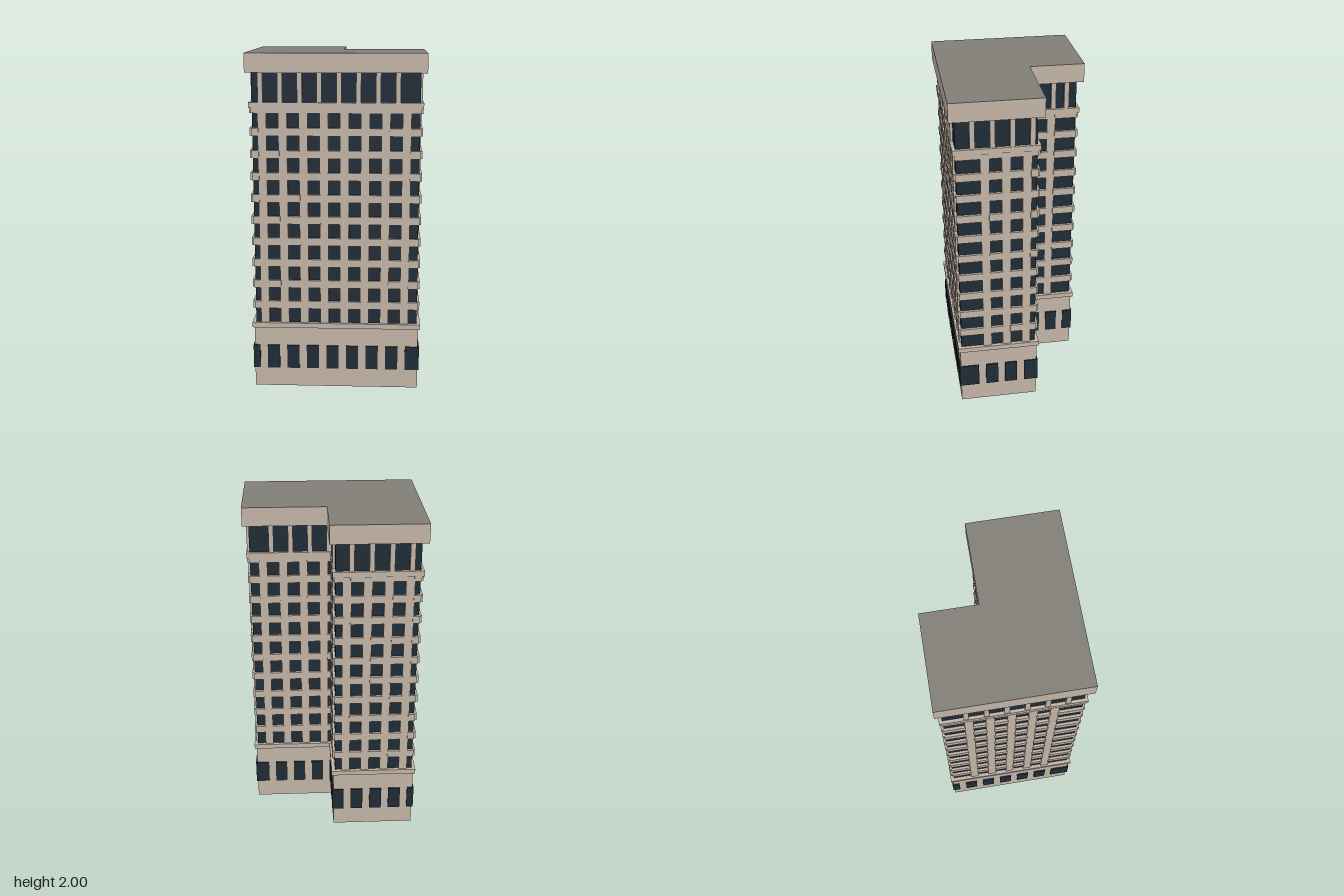
import * as THREE from 'three';
import { mergeGeometries } from 'three/addons/utils/BufferGeometryUtils.js';

const stone = new THREE.MeshStandardMaterial({ color: 0xc2b4a7 });
stone.name = 'stone';
const glass = new THREE.MeshStandardMaterial({ color: 0x1f2b35 });
glass.name = 'darkGlass';
const roofGrey = new THREE.MeshStandardMaterial({ color: 0x827e77 });
roofGrey.name = 'roofGrey';

// Core footprint: an L with a notch at the back on the +x side
const X = 0.48, Z = 0.385, NX = -0.005, NZ = -0.065;

// L-shaped slab, grown outward from the core by d
function slab(name, d, y0, y1, material) {
  const x = X + d, z = Z + d, nx = NX + d, nz = NZ - d;
  const corners = [[-x, z], [x, z], [x, nz], [nx, nz], [nx, -z], [-x, -z]];
  const shape = new THREE.Shape(corners.map(([a, b]) => new THREE.Vector2(a, -b)));
  const geo = new THREE.ExtrudeGeometry(shape, { depth: y1 - y0, bevelEnabled: false });
  geo.rotateX(-Math.PI / 2).translate(0, y0, 0);
  const mesh = new THREE.Mesh(geo, material);
  mesh.name = name;
  return mesh;
}

const series = (start, step, n) => Array.from({ length: n }, (_, i) => start + step * i);

// Pier positions along x and z for the three storey types
const px = series(-0.4235, 0.1183, 8), pz = series(0.227, -0.118, 5);
const ux = series(-0.43, 0.1118, 8), uz = series(0.293, -0.11, 6);
const bx = series(-0.4345, 0.118, 8), bz = series(0.262, -0.119, 6);

// Each wall: axis it runs along, outward sign, core plane, extent, pier positions,
// and which ends are outer corners
const walls = [
  { name: 'front', axis: 'x', s: 1, plane: Z, a: -X, b: X, piers: px, upper: ux, base: bx, ends: [1, 1] },
  { name: 'left', axis: 'z', s: 1, plane: X, a: NZ, b: Z, piers: pz, upper: uz, base: bz, ends: [1, 1] },
  { name: 'right', axis: 'z', s: -1, plane: -X, a: -Z, b: Z, piers: pz, upper: uz, base: bz, ends: [1, 1] },
  { name: 'rear', axis: 'x', s: -1, plane: -Z, a: -X, b: NX, piers: px, upper: ux, base: bx, ends: [1, 1] },
  { name: 'notchRear', axis: 'x', s: -1, plane: NZ, a: NX, b: X, piers: px, upper: ux, base: bx, ends: [-1, 1] },
  { name: 'notchSide', axis: 'z', s: 1, plane: NX, a: -Z, b: NZ, piers: [-0.117, -0.236],
    upper: [-0.125, -0.247, -0.325], base: [-0.204, -0.32], ends: [1, -1] },
];

// Box on a wall: u0..u1 along it, y0..y1 high, d0..d1 out from the core plane
function panel(w, u0, u1, y0, y1, d0, d1) {
  const depth = d1 - d0, out = w.plane + w.s * (d0 + d1) / 2;
  const u = (u0 + u1) / 2, y = (y0 + y1) / 2;
  return w.axis === 'x'
    ? new THREE.BoxGeometry(u1 - u0, y1 - y0, depth).translate(u, y, out)
    : new THREE.BoxGeometry(depth, y1 - y0, u1 - u0).translate(out, y, u);
}

const inside = (w, list, width) =>
  list.filter((c) => c - width / 2 > w.a && c + width / 2 < w.b).sort((p, q) => p - q);

// Openings left between piers of a given width
function openings(w, list, width, a = w.a, b = w.b) {
  const c = inside(w, list, width);
  const starts = [a, ...c.map((v) => v + width / 2)];
  const stops = [...c.map((v) => v - width / 2), b];
  return starts.map((v, i) => [v, stops[i]]);
}

export function createModel() {
  const model = new THREE.Group();
  model.name = 'towerBlock';

  // Stacked body
  model.add(
    slab('base', 0.01, 0, 0.375, stone),
    slab('lowerLedge', 0.022, 0.375, 0.405, stone),
    slab('glassCore', 0, 0.405, 1.89, glass),
    slab('upperLedge', 0.018, 1.69, 1.722, stone),
    slab('parapet', 0.035, 1.89, 1.998, stone),
    slab('roof', 0.035, 1.998, 2, roofGrey),
  );

  for (const w of walls) {
    const wall = new THREE.Group();
    wall.name = w.name + 'Wall';
    const add = (name, geos, material) => {
      if (!geos.length) return;
      const mesh = new THREE.Mesh(mergeGeometries(geos), material);
      mesh.name = name;
      wall.add(mesh);
    };

    // Ground floor windows, thin plates meeting at the outer corners
    const a = w.a - 0.018 * w.ends[0], b = w.b + 0.018 * w.ends[1];
    add('groundWindows', openings(w, w.base, 0.044, a, b)
      .map(([u0, u1]) => panel(w, u0, u1, 0.117, 0.262, 0.0095, 0.018)), glass);

    // Tall piers of the main storeys
    add('piers', inside(w, w.piers, 0.05)
      .map((c) => panel(w, c - 0.025, c + 0.025, 0.4, 1.7, -0.005, 0.011)), stone);

    // Spandrels under each row of windows
    const spandrels = [];
    for (const [u0, u1] of openings(w, w.piers, 0.05)) {
      for (let i = 0; i < 10; i++) {
        const y = 0.495 + i * 0.1295;
        spandrels.push(panel(w, u0 - 0.005, u1 + 0.005, y, Math.min(y + 0.045, 1.695), -0.005, 0.015));
      }
    }
    add('spandrels', spandrels, stone);

    // Slim piers of the top storey
    add('topPiers', inside(w, w.upper, 0.028)
      .map((c) => panel(w, c - 0.014, c + 0.014, 1.72, 1.892, -0.005, 0.014)), stone);

    model.add(wall);
  }
  return model;
}
